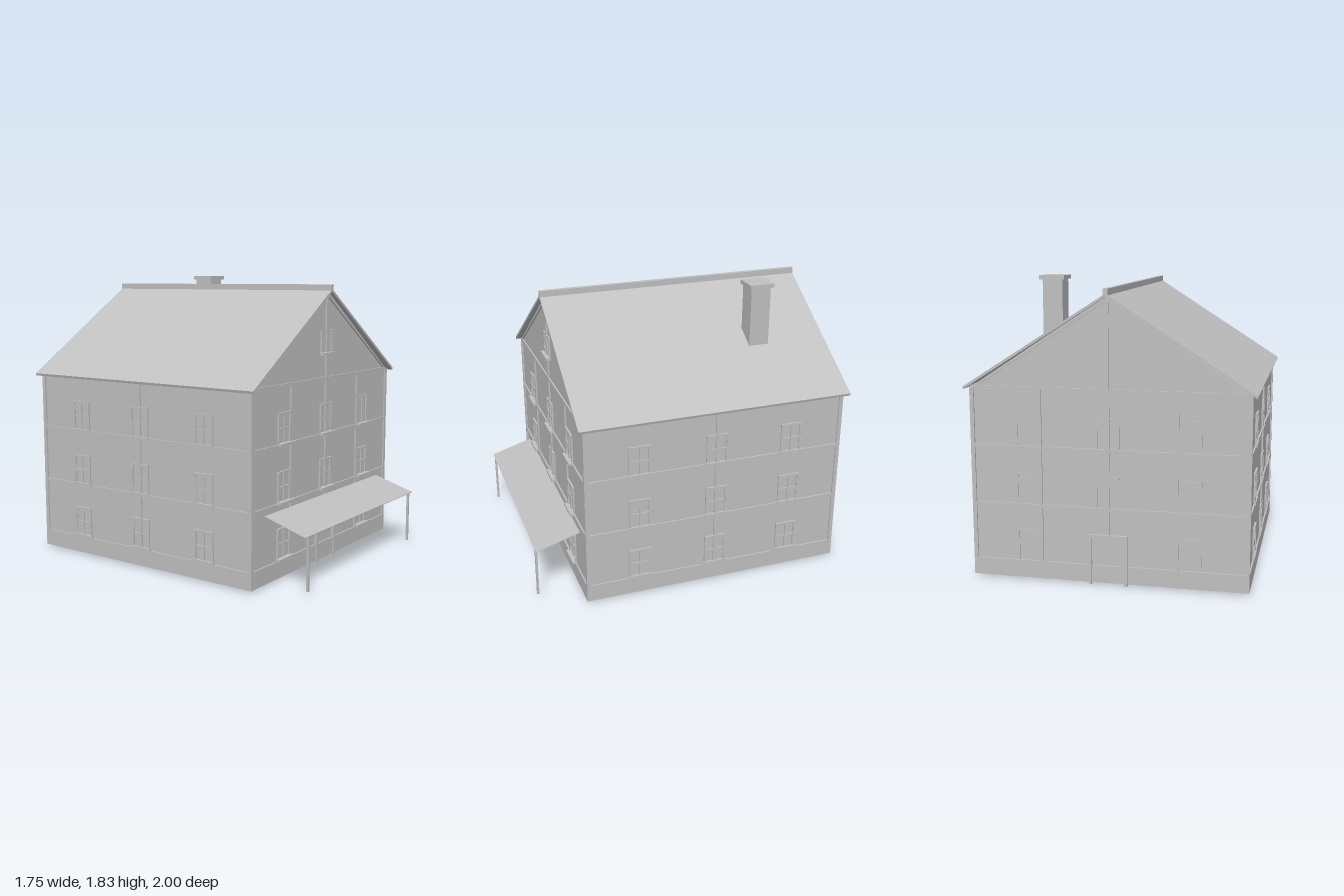
import * as THREE from 'three';

export function createModel() {
  const model = new THREE.Group();
  model.name = 'house';
  const plaster = new THREE.MeshStandardMaterial({ color: 0xc0c0c0 });
  plaster.name = 'plain grey';

  const HALF = 0.845, WALL = 0.835, CZ = -0.125;
  const LEVELS = [0.12, 0.468, 0.824];

  function add(parent, name, geometry) {
    const mesh = new THREE.Mesh(geometry, plaster);
    mesh.name = name;
    parent.add(mesh);
    return mesh;
  }
  // Box given by its minimum and maximum corners
  function box(parent, name, x0, x1, y0, y1, z0, z1) {
    const g = new THREE.BoxGeometry(x1 - x0, y1 - y0, z1 - z0);
    g.translate((x0 + x1) / 2, (y0 + y1) / 2, (z0 + z1) / 2);
    return add(parent, name, g);
  }
  const outline = pts => new THREE.Shape(pts.map(p => new THREE.Vector2(p[0], p[1])));
  const rect = (x0, x1, y0, y1) => [[x0, y0], [x1, y0], [x1, y1], [x0, y1]];
  function extrude(parent, name, shape, z0, z1) {
    const g = new THREE.ExtrudeGeometry(shape, { depth: z1 - z0, bevelEnabled: false });
    g.translate(0, 0, z0);
    return add(parent, name, g);
  }

  // Framed window with four panes, sill and head
  function windowUnit(parent, cx, y, h, sillFront) {
    const w = new THREE.Group();
    w.name = 'window';
    w.position.set(cx, y, 0);
    parent.add(w);
    const s = outline(rect(-0.065, 0.065, 0, h));
    const mid = h / 2, t = 0.005;
    for (const [x0, x1] of [[-0.055, -t], [t, 0.055]])
      for (const [y0, y1] of [[0.014, mid - t], [mid + t, h - 0.014]])
        s.holes.push(outline(rect(x0, x1, y0, y1)));
    extrude(w, 'windowFrame', s, WALL - 0.002, HALF - 0.002);
    box(w, 'windowHead', -0.071, 0.071, h - 0.012, h, WALL, HALF + 0.002);
    for (const m of [-1, 1])
      box(w, 'windowJamb', m * 0.066 - 0.005, m * 0.066 + 0.005, 0, h, WALL, HALF);
    box(w, 'windowSill', -0.08, 0.08, -0.002, 0.014, WALL, sillFront);
  }

  // Shallow casing of a blind window
  function blindWindow(parent, cx, y) {
    for (const m of [-1, 1])
      box(parent, 'blindJamb', cx + m * 0.066 - 0.004, cx + m * 0.066 + 0.004, y + 0.01, y + 0.196, WALL, WALL + 0.006);
    box(parent, 'blindHead', cx - 0.07, cx + 0.07, y + 0.188, y + 0.196, WALL, WALL + 0.006);
  }

  function doorFrame(parent) {
    const s = outline([[-0.118, 0], [-0.1, 0], [-0.1, 0.29], [0.1, 0.29],
      [0.1, 0], [0.118, 0], [0.118, 0.31], [-0.118, 0.31]]);
    extrude(parent, 'doorFrame', s, WALL - 0.005, HALF + 0.008);
  }

  // One timbered face, facing local +z
  function face(name, angle, posts) {
    const f = new THREE.Group();
    f.name = name;
    f.position.z = CZ;
    f.rotation.y = angle;
    model.add(f);
    for (const y of [0.457, 0.815, 1.17])
      box(f, 'rail', -HALF + 0.02, HALF - 0.02, y, y + 0.018, WALL - 0.005, HALF);
    for (const [x, y0, y1] of posts)
      box(f, 'post', x - 0.011, x + 0.011, y0, y1, WALL - 0.005, HALF);
    return f;
  }

  // Gable rafters against the end wall
  function gable(f) {
    const s = outline([[-0.835, 1.172], [0.835, 1.172], [0, 1.728]]);
    s.holes.push(outline([[-0.79, 1.19], [0.79, 1.19], [0, 1.7]]));
    extrude(f, 'gableRafters', s, WALL - 0.005, HALF);
  }

  // Plinth, wall core and corner posts
  box(model, 'plinth', -HALF, HALF, 0.012, 0.12, CZ - HALF, CZ + HALF);
  extrude(model, 'walls', outline([[-WALL, 0.1], [WALL, 0.1], [WALL, 1.18], [0, 1.73], [-WALL, 1.18]]),
    CZ - WALL, CZ + WALL);
  for (const x of [-1, 1])
    for (const z of [-1, 1]) {
      const c = HALF - 0.0125;
      box(model, 'cornerPost', x * c - 0.0125, x * c + 0.0125, 0.12, 1.18,
        CZ + z * c - 0.0125, CZ + z * c + 0.0125);
    }

  // Front and back faces
  const endPosts = [[-0.413, 0.12, 1.18], [0, 0.31, 1.71], [0.413, 0.12, 1.18]];
  const front = face('frontFace', 0, endPosts);
  const back = face('backFace', Math.PI, endPosts);
  for (const f of [front, back]) {
    gable(f);
    doorFrame(f);
  }
  LEVELS.forEach((y, i) => {
    for (const x of [-0.49, 0, 0.49]) {
      if (i === 0 && x === 0) continue;
      windowUnit(front, x, y, 0.198, HALF + 0.022);
      blindWindow(back, x, y);
    }
  });
  windowUnit(front, 0, 1.332, 0.152, HALF + 0.022);

  // Side faces
  for (const m of [-1, 1]) {
    const side = face(m > 0 ? 'leftFace' : 'rightFace', m * Math.PI / 2, [[0, 0.12, 1.18]]);
    for (const y of LEVELS)
      for (const x of [-0.497, 0, 0.497]) windowUnit(side, x, y, 0.198, HALF + 0.006);
  }

  // Roof slab and ridge cap
  extrude(model, 'roof', outline([[-0.875, 1.183], [-0.87, 1.168], [0, 1.724], [0.87, 1.168],
    [0.875, 1.183], [0, 1.742]]), -1, 0.75);
  box(model, 'ridgeCap', -0.015, 0.015, 1.725, 1.77, -1, 0.75);

  // Chimney
  box(model, 'chimney', 0.365, 0.49, 1.38, 1.8, -0.605, -0.475);
  box(model, 'chimneyCap', 0.35, 0.508, 1.8, 1.825, -0.62, -0.462);

  // Awning sheet sloping away from the front wall, on two posts
  const run = 0.28, drop = 0.085;
  const awning = add(model, 'awning', new THREE.BoxGeometry(1.42, 0.003, Math.hypot(run, drop)));
  awning.position.set(0, 0.387, 0.86);
  awning.rotation.x = Math.atan2(drop, run);
  for (const m of [-1, 1])
    box(model, 'awningPost', m * 0.663 - 0.007, m * 0.663 + 0.007, 0.015, 0.346, 0.984, 0.998);

  return model;
}
